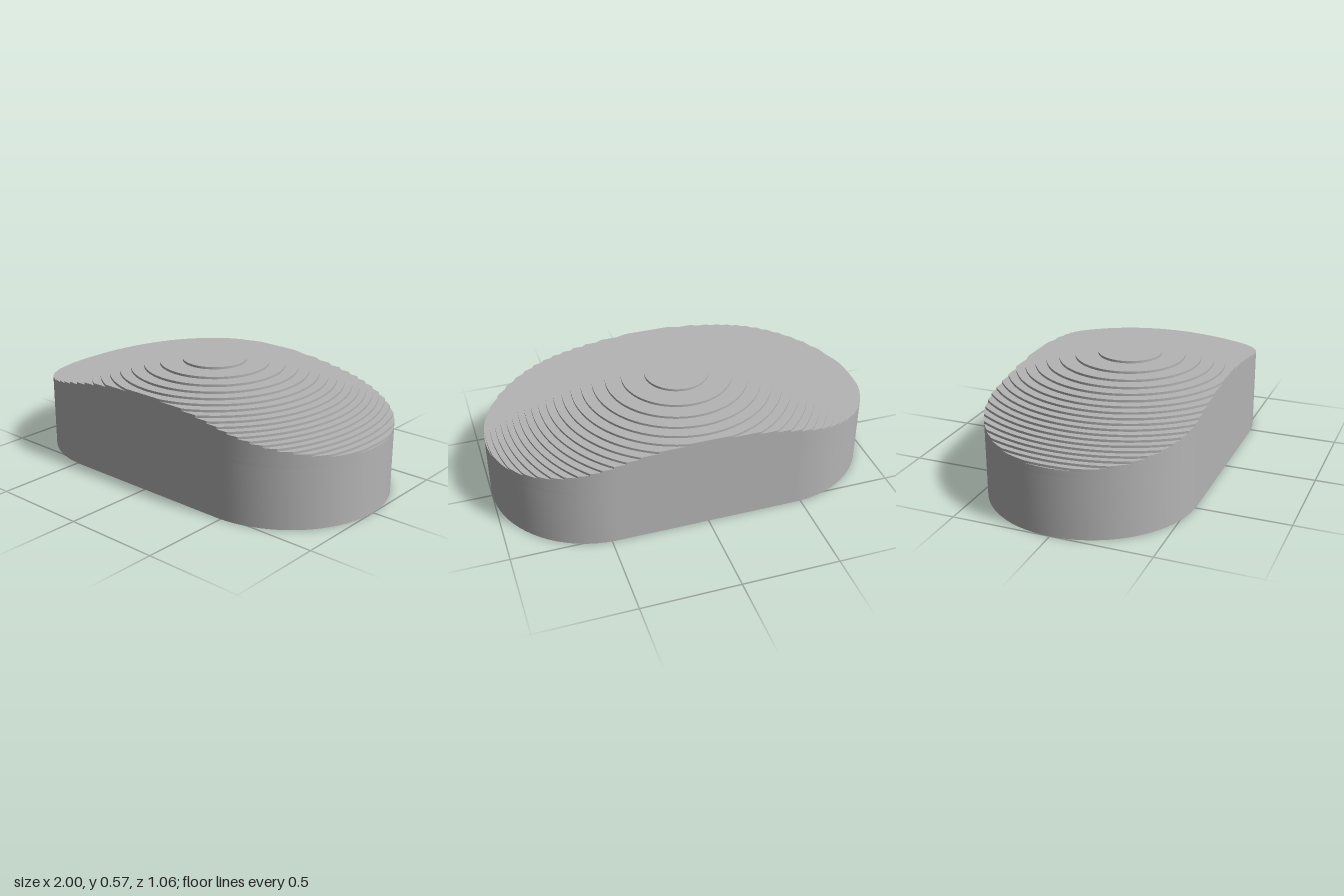
import * as THREE from 'three';
import { toCreasedNormals } from 'three/addons/utils/BufferGeometryUtils.js';

const A = 0.47, B = 0.53;            // half length of the straight side, end radius
const BASE = 0.341, STEP = 0.0118, LAYERS = 19;
const POCKET_X = 0.564, POCKET_R = 0.39, POCKET_TOP = 0.306, BORE_R = 0.195;
const BORED_LAYERS = 5;              // lowest dome layers that the bores reach into

// distance from the centre to the rounded outline at angle t
function outlineRadius(t) {
  const c = Math.abs(Math.cos(t)), s = Math.abs(Math.sin(t));
  if (B * c <= A * s) return B / s;
  return A * c + Math.sqrt(B * B - A * A * s * s);
}

// rounded outline trimmed by a circle of radius r, with exact corner angles
function trimmedShape(r = 2) {
  const angles = [];
  for (let i = 0; i < 144; i++) angles.push((i / 144) * Math.PI * 2);
  const corners = [Math.atan2(B, A)];
  if (r < 1 && r > B) {
    const x = (r * r - B * B + A * A) / (2 * A);
    corners.push(x > A ? Math.acos(x / r) : Math.asin(B / r));
  }
  for (const t of corners) angles.push(t, Math.PI - t, Math.PI + t, Math.PI * 2 - t);
  angles.sort((a, b) => a - b);
  const points = angles
    .filter((t, i) => i === 0 || t - angles[i - 1] > 1e-4)
    .map((t) => {
      const d = Math.min(r, outlineRadius(t));
      return new THREE.Vector2(d * Math.cos(t), d * Math.sin(t));
    });
  return new THREE.Shape(points);
}

// pair of hexagonal holes with corners along x
function addHexHoles(shape, radius) {
  for (const side of [-1, 1]) {
    const points = [];
    for (let i = 0; i < 6; i++) {
      const t = (-i * Math.PI) / 3;
      points.push(new THREE.Vector2(side * POCKET_X + radius * Math.cos(t), radius * Math.sin(t)));
    }
    shape.holes.push(new THREE.Path(points));
  }
  return shape;
}

export function createModel() {
  const group = new THREE.Group();
  group.name = 'steppedDomeBlock';
  const grey = new THREE.MeshStandardMaterial({ color: 0xb4b4b4 });
  grey.name = 'grey';

  function slab(name, shape, y0, y1) {
    const extruded = new THREE.ExtrudeGeometry(shape, { depth: y1 - y0, bevelEnabled: false, curveSegments: 1 });
    extruded.rotateX(-Math.PI / 2);
    const mesh = new THREE.Mesh(toCreasedNormals(extruded, 0.4), grey);
    mesh.position.y = y0;
    mesh.name = name;
    group.add(mesh);
  }

  // body with hexagonal pockets opening downwards, narrower bores above
  slab('body', addHexHoles(trimmedShape(), POCKET_R), 0, POCKET_TOP);
  slab('bodyTop', addHexHoles(trimmedShape(), BORE_R), POCKET_TOP, BASE);

  // terraced dome
  for (let i = 0; i < LAYERS; i++) {
    const k = LAYERS - 1 - i;
    const shape = trimmedShape(Math.sqrt(0.027 + 0.0533 * k));
    if (i < BORED_LAYERS) addHexHoles(shape, BORE_R);
    slab('domeLayer' + (i + 1), shape, BASE + STEP * i, BASE + STEP * (i + 1));
  }
  return group;
}
